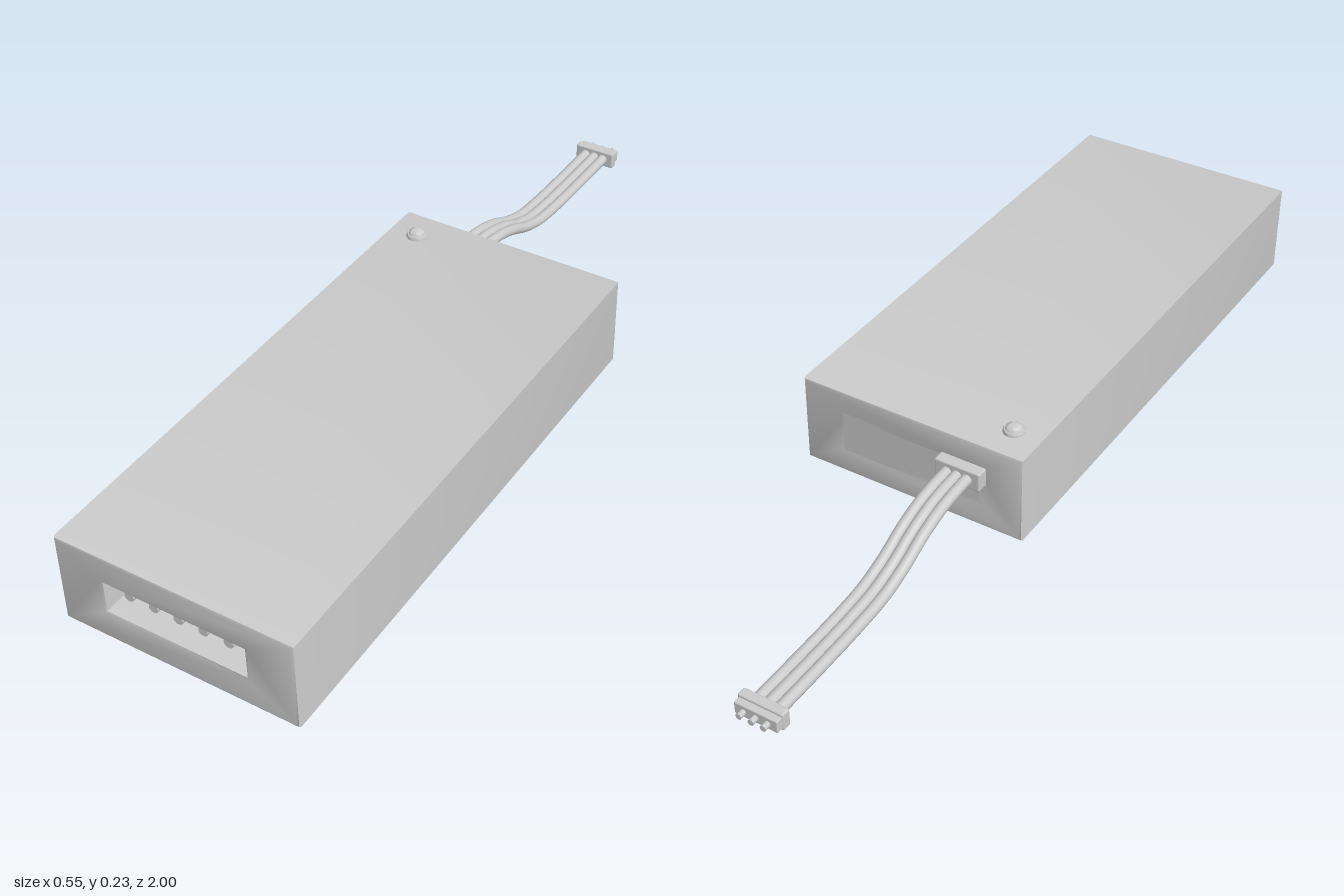
import * as THREE from 'three';
import { toCreasedNormals } from 'three/addons/utils/BufferGeometryUtils.js';
import { RoundedBoxGeometry } from 'three/addons/geometries/RoundedBoxGeometry.js';

const material = new THREE.MeshStandardMaterial({ color: 0xcccccc });

function rectPath(path, x0, y0, x1, y1) {
  path.moveTo(x0, y0);
  path.lineTo(x1, y0);
  path.lineTo(x1, y1);
  path.lineTo(x0, y1);
  path.closePath();
  return path;
}

export function createModel() {
  const model = new THREE.Group();
  const add = (name, geometry, x = 0, y = 0, z = 0, parent = model) => {
    const mesh = new THREE.Mesh(geometry, material);
    mesh.name = name;
    mesh.position.set(x, y, z);
    parent.add(mesh);
    return mesh;
  };
  const group = (name) => {
    const g = new THREE.Group();
    g.name = name;
    model.add(g);
    return g;
  };

  // Case: bevelled block with a chamfered socket opening
  const back = -0.268, front = 1, bevel = 0.007;
  const outline = rectPath(new THREE.Shape(), -0.266, 0.007, 0.266, 0.207);
  outline.holes.push(rectPath(new THREE.Path(), -0.169, 0.067, 0.167, 0.153));
  const shell = new THREE.ExtrudeGeometry(outline, {
    depth: front - back - 2 * bevel,
    bevelThickness: bevel, bevelSize: bevel, bevelSegments: 2,
  });
  add('case', toCreasedNormals(shell, 0.6), 0, 0, back + bevel);

  // Core closes the back and forms the socket floor
  const floor = 0.87;
  add('socketFloor', new THREE.BoxGeometry(0.35, 0.1, floor - back),
    -0.001, 0.11, (floor + back) / 2);

  // Two rows of six socket pins
  const pins = group('socketPins');
  const pinGeometry = new THREE.CylinderGeometry(0.011, 0.011, 0.09, 12).rotateX(Math.PI / 2);
  for (const y of [0.088, 0.131]) {
    for (let i = 0; i < 6; i++) {
      add('socketPin', pinGeometry, -0.14 + i * 0.058, y, floor + 0.045, pins);
    }
  }

  // Indicator: collar and small dome
  const dome = [[0.024, 0], [0.024, 0.005], [0.022, 0.008], [0.019, 0.008],
    [0.017, 0.013], [0.011, 0.018], [0, 0.021]].map(([r, y]) => new THREE.Vector2(r, y));
  add('indicatorLight', toCreasedNormals(new THREE.LatheGeometry(dome, 14), 0.6),
    -0.206, 0.214, -0.19);

  // Cable outlet on the back of the case
  const cableX = -0.131, pitch = 0.0245;
  add('cableOutlet', new RoundedBoxGeometry(0.11, 0.046, 0.03, 2, 0.004),
    cableX, 0.136, back - 0.011);

  // Three wires side by side, sagging to the ground
  const profile = [[0.136, -0.27], [0.135, -0.32], [0.127, -0.39], [0.106, -0.46],
    [0.074, -0.53], [0.053, -0.6], [0.045, -0.68], [0.042, -0.8], [0.042, -0.96]];
  const wires = group('cable');
  const plug = group('plug');
  const contact = new THREE.CylinderGeometry(0.007, 0.007, 0.03, 10).rotateX(Math.PI / 2);
  for (let i = -1; i <= 1; i++) {
    const x = cableX + i * pitch;
    const curve = new THREE.CatmullRomCurve3(profile.map(([y, z]) => new THREE.Vector3(x, y, z)));
    add('wire', new THREE.TubeGeometry(curve, 48, 0.0128, 12), 0, 0, 0, wires);
    add('plugPin', contact, cableX + i * 0.028, 0.042, -0.985, plug);
  }

  // Plug at the free end
  add('plugBody', new RoundedBoxGeometry(0.105, 0.042, 0.022, 2, 0.004),
    cableX, 0.042, -0.959, plug);
  add('plugFace', new RoundedBoxGeometry(0.1, 0.03, 0.024, 2, 0.003),
    cableX, 0.042, -0.973, plug);

  return model;
}
